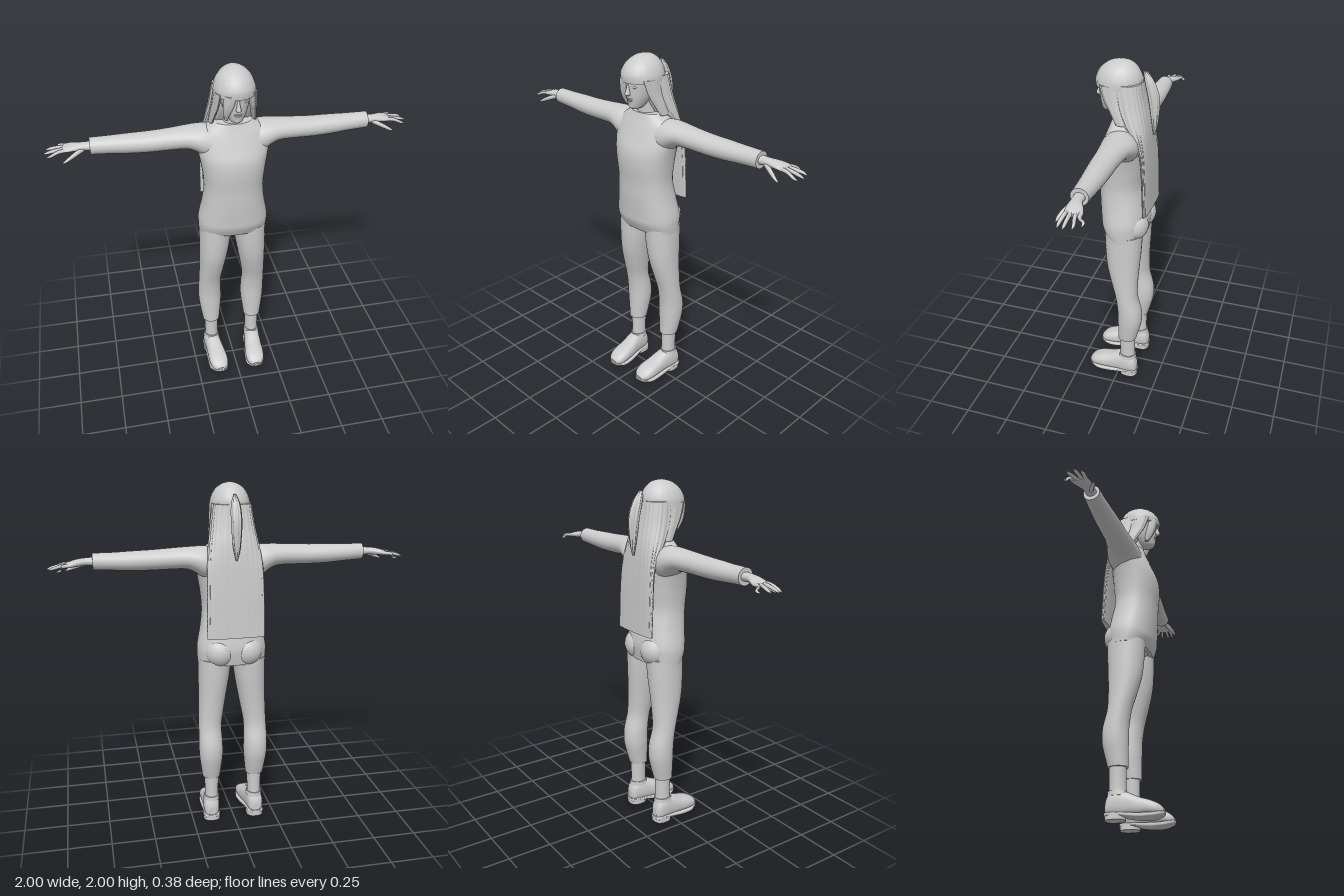
import * as THREE from 'three';

const clay = new THREE.MeshStandardMaterial({ color: 0xcccccc });
clay.name = 'light grey';

// Smooth interpolation through a list of sections
function smoothRings(rings, steps) {
  const out = [], last = rings.length - 1;
  for (let i = 0; i < last; i++) {
    const [p0, p1, p2, p3] = [-1, 0, 1, 2].map(k => rings[Math.min(last, Math.max(0, i + k))]);
    for (let s = 0; s < steps; s++) {
      const t = s / steps;
      out.push(p1.map((v, k) => v + 0.5 * t * (p2[k] - p0[k]
        + t * (2 * p0[k] - 5 * v + 4 * p2[k] - p3[k] + t * (3 * (v - p2[k]) + p3[k] - p0[k])))));
    }
  }
  out.push(rings[last]);
  return out;
}

// Closed skin over oval sections [y, centreX, centreZ, radiusX, radiusZ], listed upward
function loft(rings, { segs = 32, steps = 5, power = 2, strands = 0, depth = 0 } = {}) {
  const rows = smoothRings(rings, steps), pos = [], idx = [];
  const round = v => Math.sign(v) * Math.pow(Math.abs(v), 2 / power);
  const addRing = ([y, cx, cz, rx, rz]) => {
    const start = pos.length / 3;
    for (let i = 0; i < segs; i++) {
      const a = i / segs * Math.PI * 2, k = 1 + depth * Math.cos(strands * a);
      pos.push(cx + rx * k * round(Math.cos(a)), y, cz + rz * k * round(Math.sin(a)));
    }
    return start;
  };
  const starts = rows.map(addRing);
  for (let j = 0; j < rows.length - 1; j++) for (let i = 0; i < segs; i++) {
    const n = (i + 1) % segs, a = starts[j] + i, b = starts[j] + n;
    const c = starts[j + 1] + i, d = starts[j + 1] + n;
    idx.push(a, c, b, b, c, d);
  }
  for (const [row, top] of [[rows[0], false], [rows[rows.length - 1], true]]) {
    const s = addRing(row), c = pos.length / 3;
    pos.push(row[1], row[0], row[2]);
    for (let i = 0; i < segs; i++) {
      const a = s + i, b = s + (i + 1) % segs;
      idx.push(c, top ? b : a, top ? a : b);
    }
  }
  const g = new THREE.BufferGeometry();
  g.setAttribute('position', new THREE.Float32BufferAttribute(pos, 3));
  g.setIndex(idx);
  g.computeVertexNormals();
  return g;
}

// Sections along x: [x, y, z, radiusY, radiusZ]
const loftX = (rings, o) => loft(rings.map(([x, y, ...r]) => [x, -y, ...r]), o).rotateZ(-Math.PI / 2);
// Sections along z: [z, x, y, radiusX, radiusY]
const loftZ = (rings, o) => loft(rings.map(([z, x, y, ...r]) => [z, x, -y, ...r]), o).rotateX(Math.PI / 2);

function mirrored(geo) {
  const g = geo.clone(), p = g.attributes.position, ix = g.index;
  for (let i = 0; i < p.count; i++) p.setX(i, -p.getX(i));
  for (let i = 0; i < ix.count; i += 3) {
    const t = ix.getX(i);
    ix.setX(i, ix.getX(i + 1));
    ix.setX(i + 1, t);
  }
  g.computeVertexNormals();
  return g;
}

export function createModel() {
  const model = new THREE.Group();
  model.name = 'figure';
  const add = (name, geo) => {
    const m = new THREE.Mesh(geo, clay);
    m.name = name;
    model.add(m);
  };
  const pair = (name, geo) => {
    add('left' + name, geo);
    add('right' + name, mirrored(geo));
  };
  const ball = (x, y, z, rx, ry, rz) =>
    new THREE.SphereGeometry(1, 24, 16).scale(rx, ry, rz).translate(x, y, z);

  // Shirt body
  add('shirt', loft([
    [0.995, 0, -0.022, 0.197, 0.113], [1.05, 0, -0.014, 0.2, 0.13], [1.1, 0, -0.012, 0.197, 0.134],
    [1.2, 0, 0, 0.177, 0.13], [1.3, 0, 0.012, 0.166, 0.122], [1.4, 0, 0.013, 0.174, 0.13],
    [1.48, 0, 0.008, 0.187, 0.13], [1.55, 0, -0.005, 0.2, 0.118], [1.62, 0, -0.01, 0.185, 0.096],
    [1.655, 0, -0.01, 0.15, 0.082], [1.685, 0, -0.004, 0.1, 0.066],
  ], { segs: 48, power: 2.3 }));
  pair('Buttock', ball(0.08, 1.065, -0.075, 0.088, 0.09, 0.085));
  add('crotch', ball(0, 1.02, -0.01, 0.08, 0.05, 0.1));

  // Sleeves
  pair('Sleeve', loftX([
    [0.08, 1.555, -0.015, 0.1, 0.095], [0.16, 1.575, -0.02, 0.088, 0.1], [0.21, 1.592, -0.02, 0.07, 0.092],
    [0.26, 1.6, -0.018, 0.06, 0.08], [0.35, 1.598, -0.015, 0.057, 0.069], [0.45, 1.595, -0.015, 0.055, 0.065],
    [0.55, 1.595, -0.018, 0.053, 0.06], [0.65, 1.597, -0.02, 0.048, 0.053], [0.76, 1.6, -0.02, 0.045, 0.046],
  ]));

  // Hands
  pair('Palm', loftX([
    [0.74, 1.6, -0.02, 0.024, 0.03], [0.8, 1.601, -0.023, 0.021, 0.029], [0.85, 1.597, -0.033, 0.019, 0.042],
    [0.89, 1.59, -0.04, 0.014, 0.046], [0.905, 1.587, -0.041, 0.008, 0.04],
  ], { segs: 20 }));
  const fingers = [[-0.008, 0.002, 0.985, 1.565], [-0.028, -0.03, 1, 1.57], [-0.05, -0.07, 0.99, 1.572], [-0.07, -0.1, 0.95, 1.566]];
  fingers.forEach(([z0, z1, tip, y], i) => pair('Finger' + (i + 1), loftX([
    [0.87, 1.592, z0, 0.011, 0.011], [0.92, 1.589, z0 * 0.6 + z1 * 0.4, 0.01, 0.01],
    [tip - 0.025, y + 0.008, z1, 0.0085, 0.0085], [tip, y, z1, 0.003, 0.003],
  ], { segs: 10, steps: 3 })));
  pair('Thumb', loftX([
    [0.79, 1.592, -0.01, 0.014, 0.014], [0.84, 1.574, 0.015, 0.014, 0.014],
    [0.88, 1.556, 0.033, 0.01, 0.01], [0.905, 1.544, 0.04, 0.004, 0.004],
  ], { segs: 12, steps: 3 }));

  // Trousers and ankles
  pair('TrouserLeg', loft([
    [0.28, 0.132, -0.055, 0.052, 0.055], [0.34, 0.133, -0.063, 0.06, 0.063], [0.42, 0.134, -0.071, 0.069, 0.072],
    [0.5, 0.135, -0.069, 0.07, 0.072], [0.6, 0.135, -0.05, 0.067, 0.067], [0.7, 0.126, -0.035, 0.073, 0.08],
    [0.8, 0.116, -0.025, 0.081, 0.095], [0.9, 0.107, -0.023, 0.089, 0.104], [1.02, 0.099, -0.023, 0.096, 0.109],
  ], { power: 2.1 }));
  pair('Ankle', loft([
    [0.1, 0.132, -0.057, 0.042, 0.05], [0.18, 0.131, -0.057, 0.04, 0.046], [0.3, 0.131, -0.057, 0.044, 0.047],
  ]));

  // Shoes with sole and heel
  pair('Shoe', loftZ([
    [-0.118, 0.137, 0.06, 0.022, 0.03], [-0.1, 0.136, 0.075, 0.042, 0.06], [-0.05, 0.133, 0.085, 0.049, 0.072],
    [0, 0.128, 0.08, 0.05, 0.066], [0.06, 0.122, 0.067, 0.055, 0.052], [0.12, 0.118, 0.058, 0.058, 0.042],
    [0.165, 0.116, 0.048, 0.048, 0.03], [0.19, 0.115, 0.04, 0.022, 0.012],
  ], { power: 2.4 }));
  pair('ShoeCollar', loft([[0.125, 0.132, -0.054, 0.048, 0.058], [0.152, 0.132, -0.057, 0.045, 0.052]], { steps: 2 }));
  pair('Sole', loftZ([
    [-0.122, 0.137, 0.03, 0.025, 0.01], [-0.1, 0.136, 0.03, 0.047, 0.011], [-0.03, 0.131, 0.028, 0.05, 0.011],
    [0.06, 0.122, 0.018, 0.058, 0.014], [0.13, 0.118, 0.018, 0.06, 0.013], [0.175, 0.115, 0.026, 0.042, 0.011],
    [0.193, 0.115, 0.032, 0.02, 0.008],
  ], { power: 4 }));
  pair('Heel', loft([[0, 0.134, -0.067, 0.05, 0.054], [0.032, 0.134, -0.066, 0.05, 0.055]], { steps: 2, power: 2.6 }));

  // Neck and face
  add('neck', loft([[1.65, 0, -0.005, 0.062, 0.06], [1.7, 0, 0, 0.052, 0.054], [1.8, 0, 0.01, 0.052, 0.055]]));
  add('face', loft([
    [1.713, 0, 0.085, 0.015, 0.022], [1.722, 0, 0.08, 0.032, 0.042], [1.745, 0, 0.07, 0.047, 0.06],
    [1.78, 0, 0.058, 0.063, 0.078], [1.82, 0, 0.05, 0.074, 0.09], [1.87, 0, 0.045, 0.082, 0.097],
    [1.93, 0, 0.04, 0.08, 0.09],
  ]));
  add('nose', loft([[1.795, 0, 0.139, 0.011, 0.012], [1.803, 0, 0.144, 0.014, 0.019],
    [1.825, 0, 0.141, 0.009, 0.014], [1.855, 0, 0.138, 0.006, 0.008]], { segs: 12, steps: 3 }));
  pair('Eye', ball(0.032, 1.841, 0.127, 0.014, 0.007, 0.008));
  pair('Brow', ball(0.033, 1.862, 0.128, 0.02, 0.005, 0.008).rotateZ(0));
  add('upperLip', ball(0, 1.773, 0.131, 0.022, 0.005, 0.008));
  add('lowerLip', ball(0, 1.763, 0.128, 0.018, 0.006, 0.009));
  add('chin', ball(0, 1.737, 0.117, 0.02, 0.016, 0.012));

  // Hair: crown with fringe, side locks, swept lock, long back and ponytail
  add('crownHair', loft([
    [1.862, 0, 0.034, 0.112, 0.122], [1.9, 0, 0.032, 0.109, 0.126], [1.94, 0, 0.03, 0.094, 0.11],
    [1.97, 0, 0.026, 0.071, 0.084], [1.99, 0, 0.022, 0.042, 0.052], [2, 0, 0.02, 0.006, 0.008],
  ], { segs: 64, strands: 22, depth: 0.008 }));
  pair('SideLock', loft([
    [1.68, 0.118, -0.015, 0.012, 0.03], [1.74, 0.108, 0.005, 0.016, 0.045], [1.8, 0.098, 0.03, 0.018, 0.055],
    [1.88, 0.09, 0.05, 0.02, 0.062],
  ], { segs: 30, strands: 8, depth: 0.07 }));
  add('sweptLock', loft([
    [1.73, -0.054, 0.09, 0.008, 0.012], [1.77, -0.053, 0.105, 0.017, 0.022], [1.82, -0.044, 0.117, 0.03, 0.027],
    [1.88, -0.034, 0.125, 0.036, 0.028],
  ], { segs: 24, strands: 6, depth: 0.06 }));
  add('backHair', loft([
    [1.165, 0, -0.153, 0.16, 0.016], [1.28, 0, -0.148, 0.16, 0.017], [1.4, 0, -0.143, 0.158, 0.018],
    [1.52, 0, -0.132, 0.154, 0.022], [1.6, 0, -0.112, 0.149, 0.036], [1.68, 0, -0.074, 0.138, 0.064],
    [1.76, 0, -0.042, 0.124, 0.078], [1.83, 0, -0.026, 0.114, 0.08], [1.89, 0, -0.015, 0.106, 0.082],
  ], { segs: 96, power: 2.7, strands: 24, depth: 0.022 }));
  add('ponytail', loft([
    [1.6, 0, -0.162, 0.005, 0.006], [1.68, 0, -0.163, 0.02, 0.018], [1.8, 0, -0.156, 0.028, 0.03],
    [1.89, 0, -0.132, 0.024, 0.026], [1.945, 0, -0.108, 0.008, 0.012],
  ], { segs: 36, strands: 8, depth: 0.1 }));

  return model;
}
